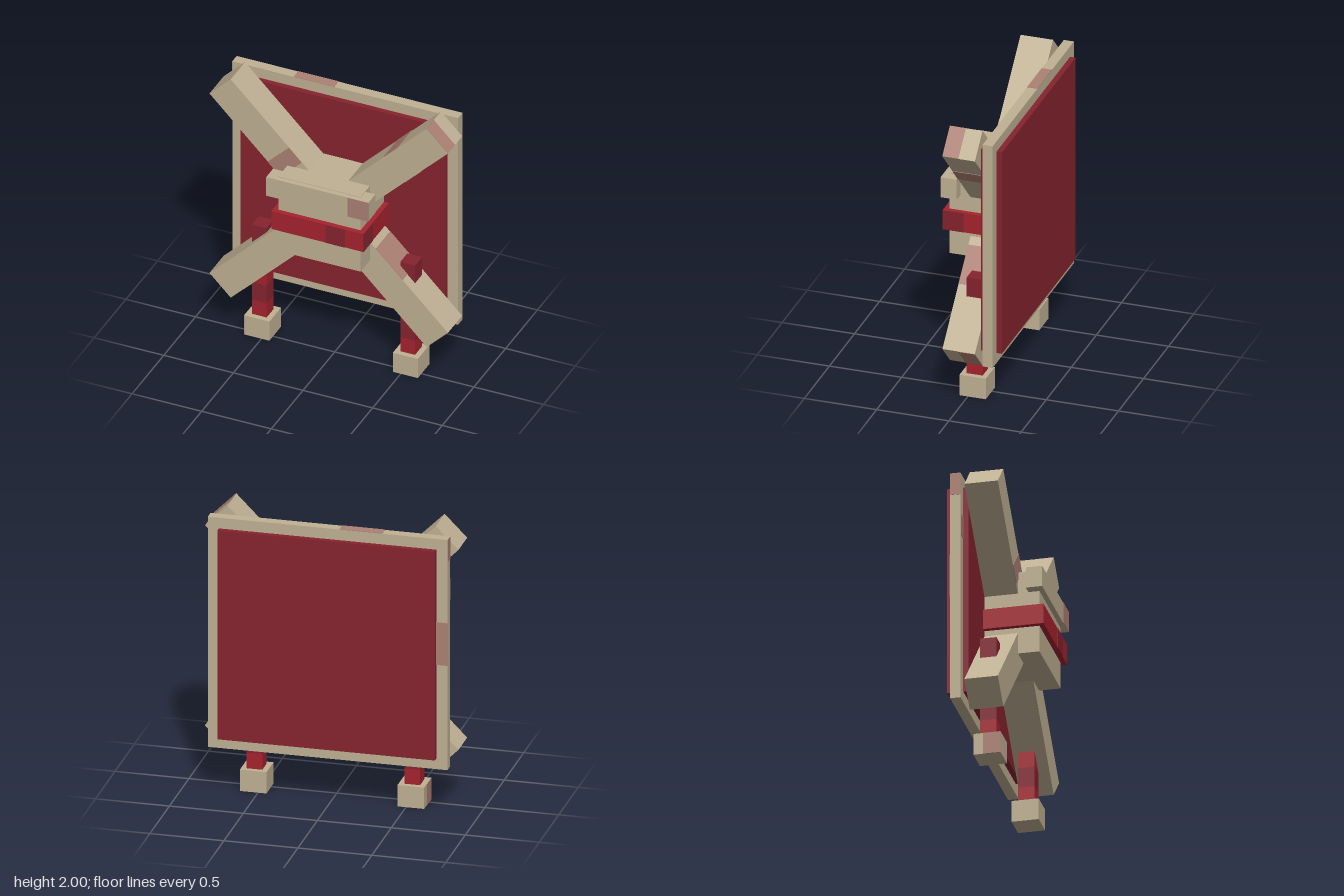
import * as THREE from 'three';

const mat = (name, color) => {
  const m = new THREE.MeshStandardMaterial({ color });
  m.name = name;
  return m;
};

export function createModel() {
  const tan = mat('tan', 0xc0b194);
  const worn = mat('worn pink', 0xac8073);
  const maroon = mat('maroon', 0x86232f);
  const red = mat('red', 0xa5232e);

  const model = new THREE.Group();
  model.name = 'shieldMachine';

  // Box given by its minimum and maximum on each axis
  const box = (name, m, [x0, x1], [y0, y1], [z0, z1], parent = model) => {
    const mesh = new THREE.Mesh(new THREE.BoxGeometry(x1 - x0, y1 - y0, z1 - z0), m);
    mesh.position.set((x0 + x1) / 2, (y0 + y1) / 2, (z0 + z1) / 2);
    mesh.name = name;
    parent.add(mesh);
    return mesh;
  };
  const T = 0.003; // thickness of painted patches

  // Back panel and the frame around it
  box('panel', maroon, [-0.735, 0.735], [0.41, 1.88], [-0.275, -0.13]);
  const frame = new THREE.Group();
  frame.name = 'frame';
  model.add(frame);
  const FZ = [-0.237, -0.167];
  for (const s of [-1, 1]) {
    const side = s < 0 ? [-0.81, -0.735] : [0.735, 0.81];
    box('frameSide', tan, side, [0.335, 1.955], FZ, frame);
    const bar = s < 0 ? [0.335, 0.41] : [1.88, 1.955];
    box('frameBar', tan, [-0.735, 0.735], bar, FZ, frame);
  }
  box('frameFrontPatch', worn, [-0.81, -0.735], [1.51, 1.66], [FZ[1], FZ[1] + T], frame);
  box('frameBackPatch', worn, [-0.81, -0.735], [1.07, 1.37], [FZ[0] - T, FZ[0]], frame);
  box('frameTopPatch', worn, [-0.37, -0.08], [1.955, 1.955 + T], FZ, frame);
  box('frameSidePatch', worn, [-0.81 - T, -0.81], [1.8, 1.955], FZ, frame);

  // Four diagonal arms; local x runs outwards along the arm
  const L = 1.103, H = 0.108, D = 0.1125;
  const makeArm = (name, degrees) => {
    const arm = new THREE.Group();
    arm.name = name;
    arm.position.set(0, 1.145, -0.0175);
    arm.rotation.z = THREE.MathUtils.degToRad(degrees);
    box('armBeam', tan, [0.1, L], [-H, H], [-D, D], arm);
    model.add(arm);
    return arm;
  };
  const upperLeft = makeArm('upperLeftArm', 45);
  const upperRight = makeArm('upperRightArm', 135);
  const lowerLeft = makeArm('lowerLeftArm', -45);
  makeArm('lowerRightArm', -135);

  // Worn patches on the arms
  box('armTopPatch', worn, [0.665, 0.81], [H, H + T], [-D, D], upperLeft);
  box('armUndersidePatch', worn, [0.665, 0.82], [-H - T, -H], [-D, D], upperLeft);
  box('armEndPatch', worn, [L, L + T], [-H, H], [0.003, D], upperLeft);
  box('armFrontPatch', worn, [0.38, 0.51], [-H, H], [D, D + T], upperRight);
  box('armTopPatch', worn, [0.37, 0.643], [H, H + T], [-D, D], lowerLeft);
  box('armEndPatch', worn, [L, L + T], [-H, H], [-D, 0.003], lowerLeft);

  // Central body, brow plate and belt
  box('body', tan, [-0.295, 0.295], [0.855, 1.44], [-0.13, 0.24]);
  box('browPlate', tan, [-0.367, 0.367], [1.29, 1.436], [0.165, 0.275]);
  box('browPatch', worn, [0.22, 0.367], [1.29, 1.436], [0.275, 0.275 + T]);
  box('belt', red, [-0.33, 0.33], [1.04, 1.18], [-0.13, 0.275]);
  box('beltFrontPatch', maroon, [0.06, 0.2], [1.04, 1.18], [0.275, 0.275 + T]);
  box('beltSidePatch', maroon, [0.33, 0.33 + T], [1.04, 1.18], [0.13, 0.275]);

  // Legs in red and maroon bands, with block feet
  const bands = [[0.15, 0.26, red], [0.26, 0.4, maroon], [0.4, 0.55, red], [0.55, 0.85, maroon]];
  for (const s of [-1, 1]) {
    const leg = new THREE.Group();
    leg.name = s > 0 ? 'leftLeg' : 'rightLeg';
    leg.position.x = s * 0.533;
    for (const [y0, y1, m] of bands) box('legBand', m, [-0.053, 0.053], [y0, y1], [-0.09, 0.02], leg);
    box('foot', tan, [-0.09, 0.09], [0, 0.15], [-0.125, 0.057], leg);
    if (s < 0) box('footPatch', worn, [-0.09 - T, -0.09], [0, 0.15], [-0.06, 0.057], leg);
    model.add(leg);
  }
  return model;
}
